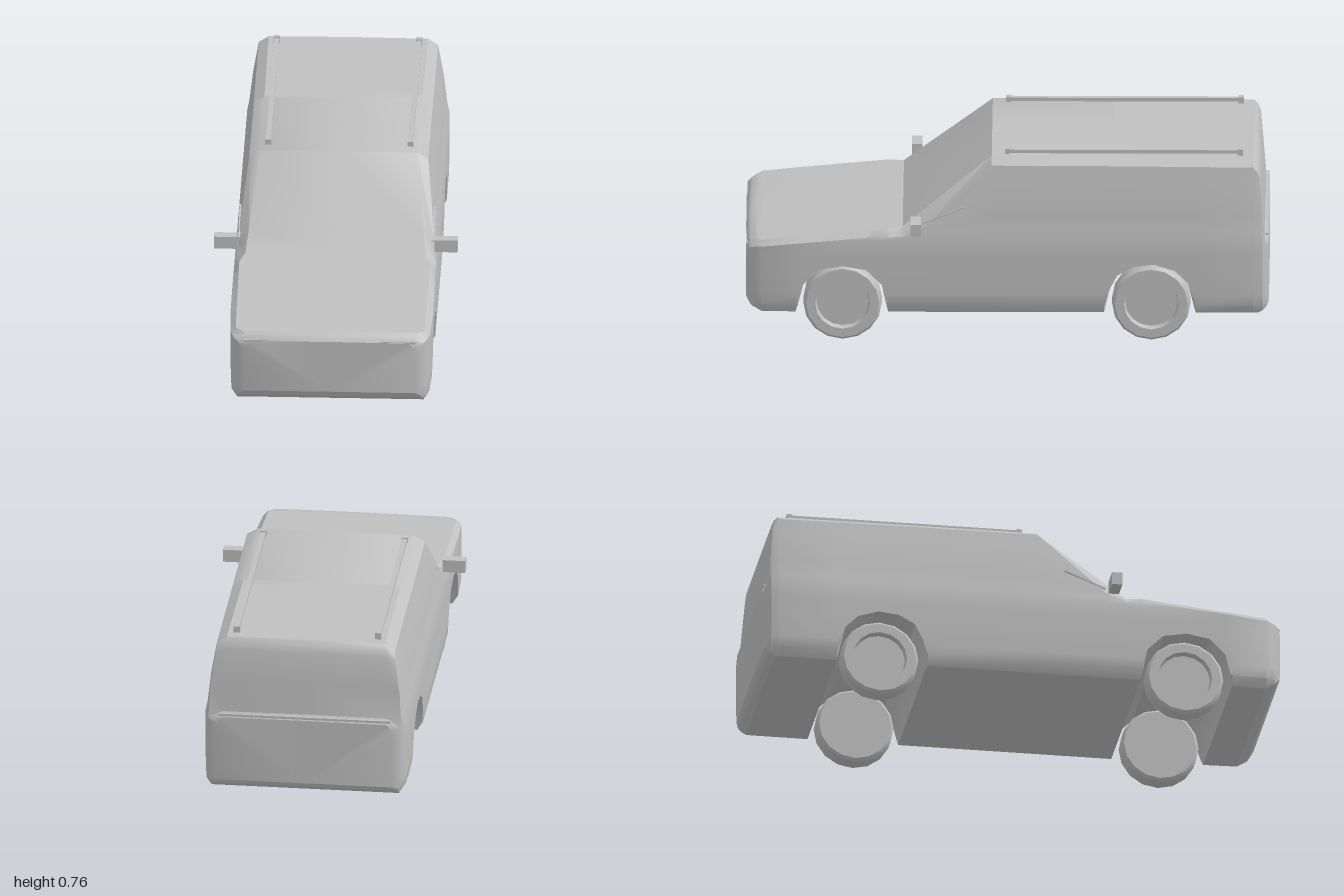
import * as THREE from 'three';
import { toCreasedNormals } from 'three/addons/utils/BufferGeometryUtils.js';

// Profiles are [position, value] pairs, read by linear interpolation.
const TOP = [[-1, 0.42], [-0.985, 0.44], [-0.965, 0.69], [-0.955, 0.715], [-0.94, 0.733], [-0.4, 0.737],
  [0.06, 0.738], [0.32, 0.53], [0.4, 0.465], [0.8, 0.428], [0.96, 0.411], [0.985, 0.402], [1, 0.385]];
const BOTTOM = [[-1, 0.16], [-0.985, 0.137], [-0.96, 0.12], [-0.72, 0.12], [-0.69, 0.25], [-0.64, 0.3], [-0.56, 0.325],
  [-0.48, 0.315], [-0.42, 0.28], [-0.39, 0.22], [-0.37, 0.12], [0.455, 0.12], [0.48, 0.24], [0.54, 0.3],
  [0.63, 0.316], [0.72, 0.3], [0.78, 0.24], [0.81, 0.12], [0.94, 0.12], [0.98, 0.145], [1, 0.175]];
const SIDE = [[0.12, 0.362], [0.155, 0.384], [0.25, 0.387], [0.42, 0.387], [0.46, 0.379], [0.58, 0.365], [0.715, 0.342]];
const TAPER = [[-1, 0.87], [-0.992, 0.94], [-0.975, 0.985], [-0.94, 1], [0.8, 1], [0.94, 0.985], [0.975, 0.95], [0.992, 0.9], [1, 0.85]];
const TOP_WIDTH = [[-1, 0.32], [-0.94, 0.305], [0.06, 0.3], [0.4, 0.345], [0.46, 0.366], [0.94, 0.362], [1, 0.3]];
const EDGE_DROP = [[-1, 0.025], [0.06, 0.025], [0.32, 0.06], [0.4, 0.03], [0.5, 0.02], [1, 0.02]];

function at(table, x) {
  if (x <= table[0][0]) return table[0][1];
  for (let i = 1; i < table.length; i++) {
    const [x0, y0] = table[i - 1], [x1, y1] = table[i];
    if (x <= x1) return y0 + (y1 - y0) * (x - x0) / (x1 - x0);
  }
  return table[table.length - 1][1];
}

// One closed cross-section, anticlockwise seen from the front
function crossSection(z) {
  const bottom = at(BOTTOM, z), top = at(TOP, z), taper = at(TAPER, z);
  const shoulder = top - at(EDGE_DROP, z);
  const half = [[0, bottom]];
  for (const level of [0.12, 0.155, 0.2, 0.25, 0.3, 0.36, 0.42, 0.46, 0.52, 0.58, 0.65, 0.715]) {
    const y = Math.min(Math.max(level, bottom), shoulder);
    half.push([at(SIDE, y) * taper, y]);
  }
  const edge = half[half.length - 1][0];
  half.push([Math.min(at(TOP_WIDTH, z), edge - 0.008), top]);
  const mirrored = half.slice(1).reverse().map(([x, y]) => [-x, y]);
  return [...half, [0, top + 0.002], ...mirrored].map(([x, y]) => new THREE.Vector3(x, y, z));
}

function bodyGeometry() {
  const stations = [...new Set([TOP, BOTTOM, TAPER, TOP_WIDTH, EDGE_DROP].flat().map((p) => p[0]))].sort((a, b) => b - a);
  const rings = stations.map(crossSection);
  const positions = [];
  const tri = (a, b, c) => {
    const area = b.clone().sub(a).cross(c.clone().sub(a)).length();
    if (area > 1e-9) for (const p of [a, b, c]) positions.push(p.x, p.y, p.z);
  };
  const n = rings[0].length;
  for (let i = 0; i < rings.length - 1; i++) {
    for (let j = 0; j < n; j++) {
      const k = (j + 1) % n;
      tri(rings[i][j], rings[i + 1][j], rings[i + 1][k]);
      tri(rings[i][j], rings[i + 1][k], rings[i][k]);
    }
  }
  // Flat nose and tail
  const first = rings[0], last = rings[rings.length - 1];
  for (let j = 1; j < n - 1; j++) {
    tri(first[0], first[j], first[j + 1]);
    tri(last[0], last[j + 1], last[j]);
  }
  const geometry = new THREE.BufferGeometry();
  geometry.setAttribute('position', new THREE.Float32BufferAttribute(positions, 3));
  return toCreasedNormals(geometry, 0.55);
}

// Tyre with a recessed outer rim, axis along x, outer side towards +x
function wheelGeometry() {
  const profile = [[0, -0.04], [0.14, -0.04], [0.15, -0.03], [0.15, 0.03], [0.14, 0.04],
    [0.105, 0.04], [0.1, 0.015], [0, 0.015]].map(([r, h]) => new THREE.Vector2(r, h));
  const geometry = new THREE.LatheGeometry(profile, 16);
  geometry.rotateZ(-Math.PI / 2);
  return toCreasedNormals(geometry, 0.5);
}

export function createModel() {
  const model = new THREE.Group();
  model.name = 'car';
  const grey = new THREE.MeshStandardMaterial({ color: 0xc0c0c0 });
  grey.name = 'light grey';

  const add = (name, geometry, x = 0, y = 0, z = 0) => {
    const mesh = new THREE.Mesh(geometry, grey);
    mesh.name = name;
    mesh.position.set(x, y, z);
    model.add(mesh);
    return mesh;
  };
  const box = (name, w, h, d, x, y, z) => add(name, new THREE.BoxGeometry(w, h, d), x, y, z);

  add('body', bodyGeometry());

  const wheel = wheelGeometry();
  for (const side of [1, -1]) {
    const label = side > 0 ? 'left' : 'right';
    // Wheels
    for (const [end, z] of [['Front', 0.63], ['Rear', -0.55]]) {
      const mesh = add(`${label}${end}Wheel`, wheel, side * 0.31, 0.15, z);
      if (side < 0) mesh.rotation.y = Math.PI;
    }
    // Door mirror and the slim stay behind it
    box(`${label}Mirror`, 0.088, 0.05, 0.04, side * 0.422, 0.493, 0.35);
    const stay = box(`${label}MirrorStay`, 0.008, 0.006, 0.17, side * 0.372, 0.522, 0.24);
    stay.rotation.x = 0.4;
    // Roof rail on two feet
    box(`${label}RoofRail`, 0.02, 0.014, 0.91, side * 0.272, 0.748, -0.445);
    for (const z of [0, -0.89]) box(`${label}RailFoot`, 0.024, 0.026, 0.02, side * 0.272, 0.746, z);
    // Slim headlamp strip
    box(`${label}Headlamp`, 0.14, 0.009, 0.016, side * 0.258, 0.385, 0.991);
  }
  // Ledge across the tailgate
  box('tailgateLedge', 0.66, 0.009, 0.016, 0, 0.43, -0.99);
  return model;
}
